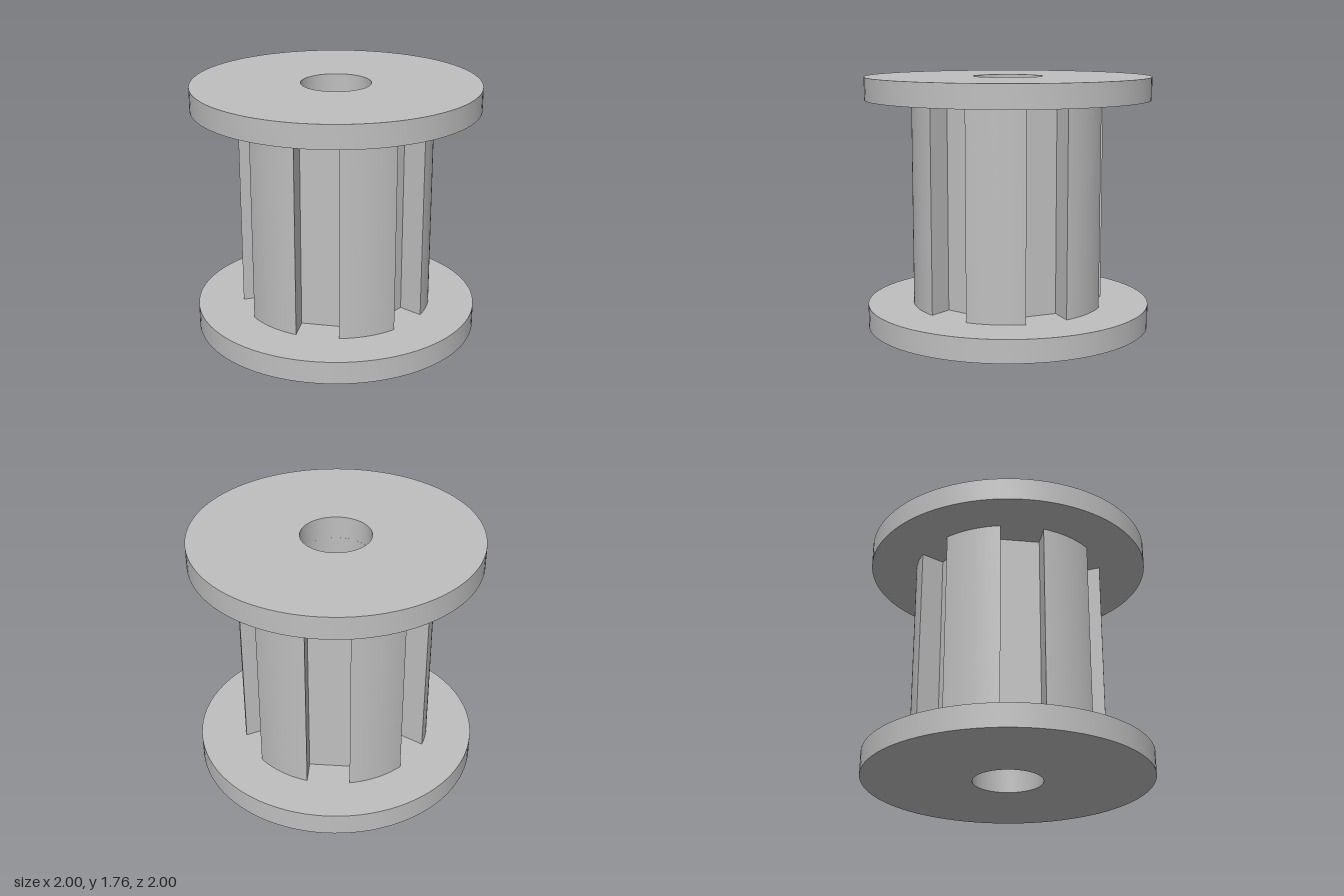
import * as THREE from 'three';
import { toCreasedNormals } from 'three/addons/utils/BufferGeometryUtils.js';

const BORE = 0.243;
const HEIGHT = 1.765;
const FLANGE = 0.16;

// Stand a bored outline upright, from y0 to y1, with smooth curves and sharp edges
function boredPrism(name, shape, y0, y1, segments, material) {
  const bore = new THREE.Path();
  bore.absarc(0, 0, BORE, 0, Math.PI * 2, true);
  shape.holes.push(bore);
  const extruded = new THREE.ExtrudeGeometry(shape, {
    depth: y1 - y0, bevelEnabled: false, curveSegments: segments,
  });
  extruded.rotateX(-Math.PI / 2);
  extruded.translate(0, y0, 0);
  const mesh = new THREE.Mesh(toCreasedNormals(extruded, 0.35), material);
  mesh.name = name;
  return mesh;
}

function discShape() {
  const shape = new THREE.Shape();
  shape.absarc(0, 0, 1, 0, Math.PI * 2, false);
  return shape;
}

// Six round-topped teeth separated by parallel-sided, flat-bottomed grooves
function toothedShape() {
  const teeth = 6, radius = 0.676, halfGroove = 0.149, floor = 0.485;
  const pitch = (Math.PI * 2) / teeth;
  const edge = Math.asin(halfGroove / radius);
  const shape = new THREE.Shape();
  for (let i = 0; i < teeth; i++) {
    const a = i * pitch, c = Math.cos(a), s = Math.sin(a);
    const floorPoint = (side) => [floor * c - side * s, floor * s + side * c];
    if (i === 0) shape.moveTo(...floorPoint(-halfGroove));
    else shape.lineTo(...floorPoint(-halfGroove));
    shape.lineTo(...floorPoint(halfGroove));
    shape.absarc(0, 0, radius, a + edge, a + pitch - edge, false);
  }
  shape.closePath();
  return shape;
}

export function createModel() {
  const grey = new THREE.MeshStandardMaterial({ color: 0xbfbfbf });
  grey.name = 'grey';

  const model = new THREE.Group();
  model.name = 'toothedSpool';
  model.add(
    boredPrism('bottomFlange', discShape(), 0, FLANGE, 48, grey),
    boredPrism('toothedHub', toothedShape(), FLANGE, HEIGHT - FLANGE, 24, grey),
    boredPrism('topFlange', discShape(), HEIGHT - FLANGE, HEIGHT, 48, grey),
  );
  return model;
}
